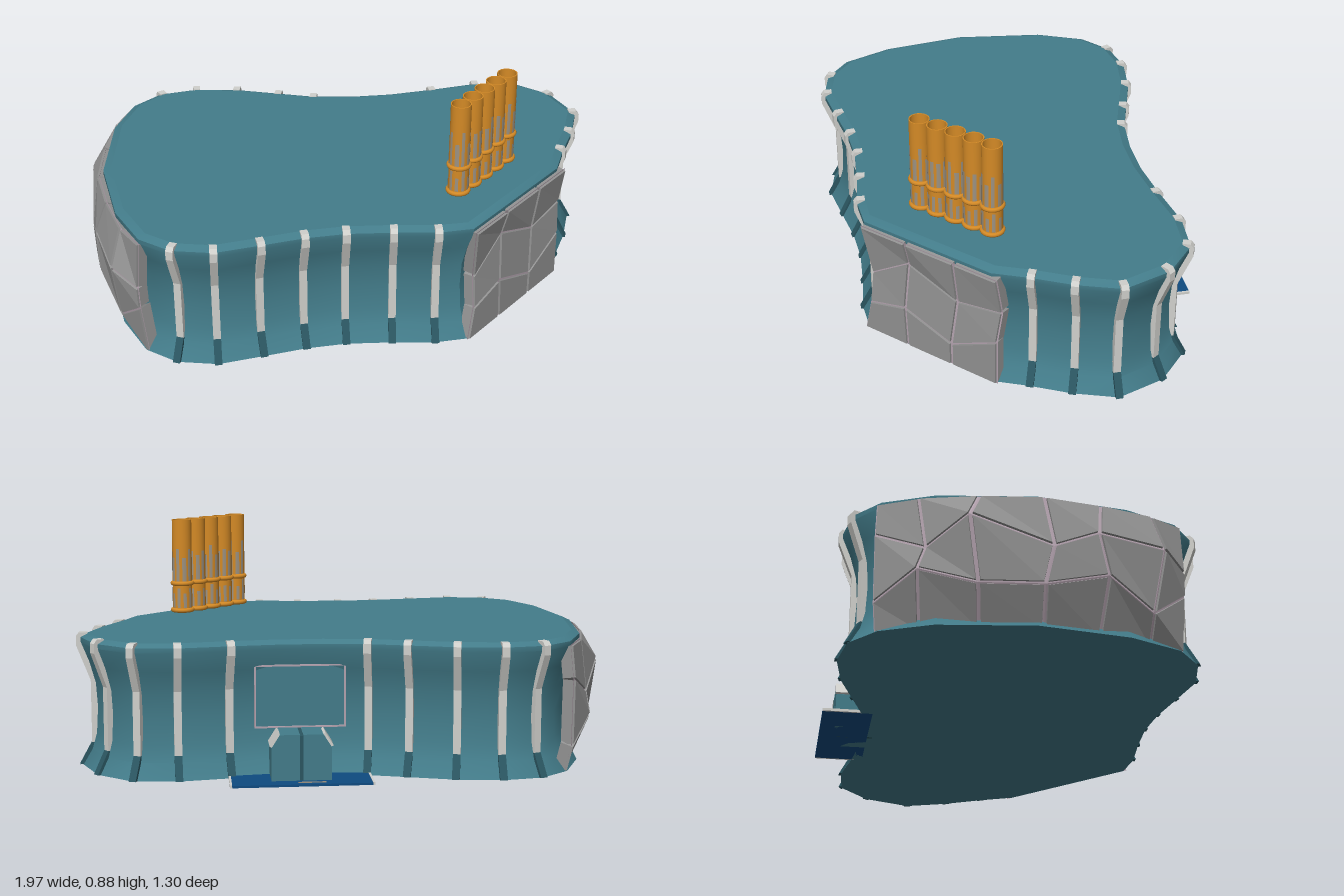
import * as THREE from 'three';
import { toCreasedNormals } from 'three/addons/utils/BufferGeometryUtils.js';

const mat = (name, color, side = THREE.FrontSide) => {
  const m = new THREE.MeshStandardMaterial({ color, side });
  m.name = name;
  return m;
};

export function createModel() {
  const model = new THREE.Group();
  model.name = 'raisedPlatform';
  const teal = mat('teal', 0x437c8a);
  const darkTeal = mat('dark teal', 0x2a5560);
  const lightGrey = mat('light grey', 0xd0d0cc);
  const stone = mat('stone grey', 0x929292);
  const grout = mat('pinkish grout', 0xb3a2ae, THREE.DoubleSide);
  const orange = mat('orange', 0xd48a26, THREE.DoubleSide);
  const slot = mat('warm grey', 0x9c9282, THREE.DoubleSide);
  const navy = mat('navy', 0x0e4a80);

  const add = (geo, material, name, parent = model) => {
    const mesh = new THREE.Mesh(geo, material);
    mesh.name = name;
    parent.add(mesh);
    return mesh;
  };
  const box = (x0, x1, y0, y1, z0, z1, material, name, parent = model) => {
    const mesh = add(new THREE.BoxGeometry(x1 - x0, y1 - y0, z1 - z0), material, name, parent);
    mesh.position.set((x0 + x1) / 2, (y0 + y1) / 2, (z0 + z1) / 2);
    return mesh;
  };
  const group = (name) => {
    const g = new THREE.Group();
    g.name = name;
    model.add(g);
    return g;
  };
  const indexed = (pos, idx) => {
    const g = new THREE.BufferGeometry();
    g.setAttribute('position', new THREE.Float32BufferAttribute(pos, 3));
    g.setIndex(idx);
    return g;
  };

  // Plan outline (x, z): back edge, right end, front edge, left end
  const outline = [
    [-0.69, -0.61], [-0.54, -0.635], [-0.37, -0.61], [-0.2, -0.555], [-0.06, -0.51], [0.1, -0.49],
    [0.26, -0.49], [0.43, -0.51], [0.62, -0.54], [0.785, -0.525], [0.915, -0.41], [0.98, -0.23],
    [0.925, -0.07], [0.855, 0.07], [0.8, 0.2], [0.4, 0.59], [0.27, 0.6], [0.11, 0.58],
    [-0.06, 0.567], [-0.21, 0.577], [-0.37, 0.605], [-0.54, 0.633], [-0.69, 0.6], [-0.8, 0.51],
    [-0.88, 0.32], [-0.925, 0], [-0.88, -0.34], [-0.8, -0.52],
  ];
  const n = outline.length;
  const normals = outline.map((_, i) => {
    const a = outline[(i + n - 1) % n], b = outline[(i + 1) % n];
    return new THREE.Vector2(b[1] - a[1], a[0] - b[0]).normalize();
  });
  const offset = (i, d) => [outline[i][0] + normals[i].x * d, outline[i][1] + normals[i].y * d];

  // Concave wall and rim, lofted through offset copies of the outline
  const profile = [[0, 0], [-0.035, 0.06], [-0.052, 0.12], [-0.058, 0.22], [-0.052, 0.31],
    [-0.03, 0.39], [0, 0.465], [0, 0.483], [-0.03, 0.497]];
  const pos = [], idx = [];
  profile.forEach(([d, y], j) => {
    for (let i = 0; i < n; i++) {
      const [x, z] = offset(i, d);
      pos.push(x, y, z);
      if (j === profile.length - 1) continue;
      const a = j * n + i, c = j * n + (i + 1) % n;
      idx.push(a, a + n, c, c, a + n, c + n);
    }
  });
  add(toCreasedNormals(indexed(pos, idx), 0.6), teal, 'wall');

  // Flat deck and underside
  const cap = (d, sign) => new THREE.ShapeGeometry(new THREE.Shape(
    outline.map((_, i) => { const [x, z] = offset(i, d); return new THREE.Vector2(x, sign * z); })));
  add(cap(-0.03, -1).rotateX(-Math.PI / 2), teal, 'deck').position.y = 0.497;
  add(cap(0, 1).rotateX(Math.PI / 2), teal, 'underside');

  // Bent ribs with dark feet around the wall
  const ribGeo = (pts) => new THREE.ExtrudeGeometry(
    new THREE.Shape(pts.map((p) => new THREE.Vector2(...p))),
    { depth: 0.028, bevelEnabled: false }).translate(0, 0, -0.014);
  const rib = ribGeo([[-0.075, 0.085], [-0.038, 0.085], [-0.038, 0.32], [0.012, 0.45],
    [0.012, 0.485], [0, 0.5], [-0.03, 0.5], [-0.03, 0.45], [-0.075, 0.32]]);
  const foot = ribGeo([[-0.03, 0.001], [0.008, 0.001], [-0.038, 0.085], [-0.075, 0.085]]);
  const ribs = group('ribs');
  for (let i = 0; i < 23; i++) {
    if ([5, 6, 14, 15].includes(i)) continue;
    for (const [geo, material, name] of [[rib, lightGrey, 'rib'], [foot, darkTeal, 'ribFoot']]) {
      const m = add(geo, material, name, ribs);
      m.position.set(outline[i][0], 0, outline[i][1]);
      m.rotation.y = Math.atan2(-normals[i].y, normals[i].x);
    }
  }

  // Stone facing from a grid of nodes: rows go up, columns follow the outline
  const stonework = (rows, name) => {
    const g = group(name);
    for (let j = 0; j < rows.length - 1; j++) {
      for (let i = 0; i < rows[0].length - 1; i++) {
        const q = [rows[j][i], rows[j + 1][i], rows[j + 1][i + 1], rows[j][i + 1]];
        const mid = q.reduce((s, p) => s.add(p), new THREE.Vector3()).multiplyScalar(0.25);
        const nor = q[2].clone().sub(q[0]).cross(q[3].clone().sub(q[1])).normalize();
        const ring = (shrink, lift) => q.flatMap((p) =>
          p.clone().lerp(mid, shrink).addScaledVector(nor, lift).toArray());
        const faces = [4, 5, 6, 4, 6, 7];
        for (let k = 0; k < 4; k++) {
          const l = (k + 1) % 4;
          faces.push(k, l, k + 4, l, l + 4, k + 4);
        }
        const block = indexed([...ring(0.03, -0.04), ...ring(0.07, 0.008)], faces).toNonIndexed();
        block.computeVertexNormals();
        add(block, stone, 'stone', g);
        const joint = indexed(ring(0, 0), [0, 1, 2, 0, 2, 3]).toNonIndexed();
        joint.computeVertexNormals();
        add(joint, grout, 'grout', g);
      }
    }
  };

  // Flat stone panel at the front corner: [z, y] nodes and a depth per row
  const panel = [
    [0, [0.18, 0], [0.32, 0], [0.46, 0], [0.6, 0]],
    [0, [0.18, 0.19], [0.32, 0.095], [0.465, 0.17], [0.58, 0.13]],
    [-0.015, [0.165, 0.32], [0.3, 0.29], [0.45, 0.37], [0.57, 0.26]],
    [0.015, [0.18, 0.472], [0.31, 0.472], [0.46, 0.472], [0.6, 0.472]],
  ];
  stonework(panel.map(([d, ...nodes]) => nodes.map(([z, y]) =>
    new THREE.Vector3(0.8 - (z - 0.2) * 1.026 + d, y, z + d * 0.3))), 'frontStonePanel');

  // Bulging rough stones on the left end
  const ends = [[-0.8, 0.525], [-0.865, 0.41], [-0.915, 0.22], [-0.945, 0.02],
    [-0.92, -0.2], [-0.87, -0.4], [-0.8, -0.535]];
  const bulge = [-0.045, 0.025, 0.035, -0.005];
  stonework([0, 0.15, 0.32, 0.472].map((y, j) => ends.map(([x, z], i) => {
    const inner = j % 3 !== 0, edge = i % 6 === 0;
    const wob = Math.sin(i * 2.6 + j * 1.9);
    const d = edge ? bulge[j] * 0.3 : bulge[j] + (inner ? 0.012 * wob : 0);
    return new THREE.Vector3(x - d, y + (inner ? 0.055 * wob : 0),
      z + d * z * 0.8 + (inner && !edge ? 0.035 * Math.cos(i * 3.3 + j) : 0));
  })), 'sideStoneWall');

  // Row of open tubes hovering just over the deck, with collars and worn slots
  const tubes = group('tubes');
  for (let t = 0; t < 5; t++) {
    const g = new THREE.Group();
    g.name = 'tube';
    g.position.set(0.38 + t * 0.054, 0, 0.374 - t * 0.055);
    tubes.add(g);
    const pipe = (r, y0, y1, material, name, start = 0, len = Math.PI * 2) => {
      const seg = len > 6 ? 20 : 2;
      add(new THREE.CylinderGeometry(r, r, y1 - y0, seg, 1, true, start, len), material, name, g)
        .position.y = (y0 + y1) / 2;
    };
    pipe(0.038, 0.515, 0.88, orange, 'pipe');
    pipe(0.034, 0.515, 0.88, orange, 'pipeLining');
    add(new THREE.RingGeometry(0.034, 0.038, 20).rotateX(-Math.PI / 2), orange, 'pipeLip', g).position.y = 0.88;
    for (const y of [0.524, 0.63]) {
      add(new THREE.TorusGeometry(0.038, 0.009, 8, 20).rotateX(Math.PI / 2), orange, 'collar', g).position.y = y;
    }
    for (let s = 0; s < 10; s++) {
      const v = Math.abs(Math.sin(s * 4.7 + t * 2.3));
      pipe(0.0392, 0.64, 0.78 - v * 0.05, slot, 'slot', s * 0.628, 0.3 + 0.12 * v);
      pipe(0.0392, 0.535, 0.62 - v * 0.03, slot, 'lowerSlot', s * 0.628 + 0.1, 0.32);
    }
  }

  // Landing pad behind the back wall
  box(-0.065, 0.435, 0, 0.008, -0.655, -0.47, navy, 'landingPad');
  for (const x of [-0.073, 0.435]) box(x, x + 0.008, 0, 0.01, -0.655, -0.5, lightGrey, 'padEdge');
  box(0.1, 0.2, 0.008, 0.011, -0.634, -0.628, slot, 'padMark');

  // Twin cabinet with sloped shoulders
  const half = new THREE.Shape([[0.006, 0], [0.108, 0], [0.108, 0.13], [0.08, 0.175], [0.006, 0.175]]
    .map((p) => new THREE.Vector2(...p)));
  const cabinet = group('cabinet');
  for (const s of [1, -1]) {
    const m = add(new THREE.ExtrudeGeometry(half, { depth: 0.17, bevelEnabled: false }), teal, 'cabinetHalf', cabinet);
    m.position.set(0.185, 0, s > 0 ? -0.6 : -0.43);
    if (s < 0) m.rotation.y = Math.PI;
    const plate = add(new THREE.BoxGeometry(0.055, 0.009, 0.1), lightGrey, 'shoulderPlate', cabinet);
    plate.position.set(0.185 + s * 0.096, 0.156, -0.552);
    plate.rotation.z = -s * 1.01;
  }
  box(0.178, 0.192, 0, 0.17, -0.595, -0.45, darkTeal, 'cabinetSeam', cabinet);

  // Door panel outlined on the back wall
  const door = group('backDoor');
  box(0.02, 0.34, 0.18, 0.4, -0.468, -0.42, teal, 'doorPanel', door);
  for (const x of [0.014, 0.34]) box(x, x + 0.006, 0.18, 0.4, -0.474, -0.42, grout, 'doorJamb', door);
  for (const y of [0.174, 0.4]) box(0.014, 0.346, y, y + 0.006, -0.474, -0.42, grout, 'doorRail', door);

  return model;
}
